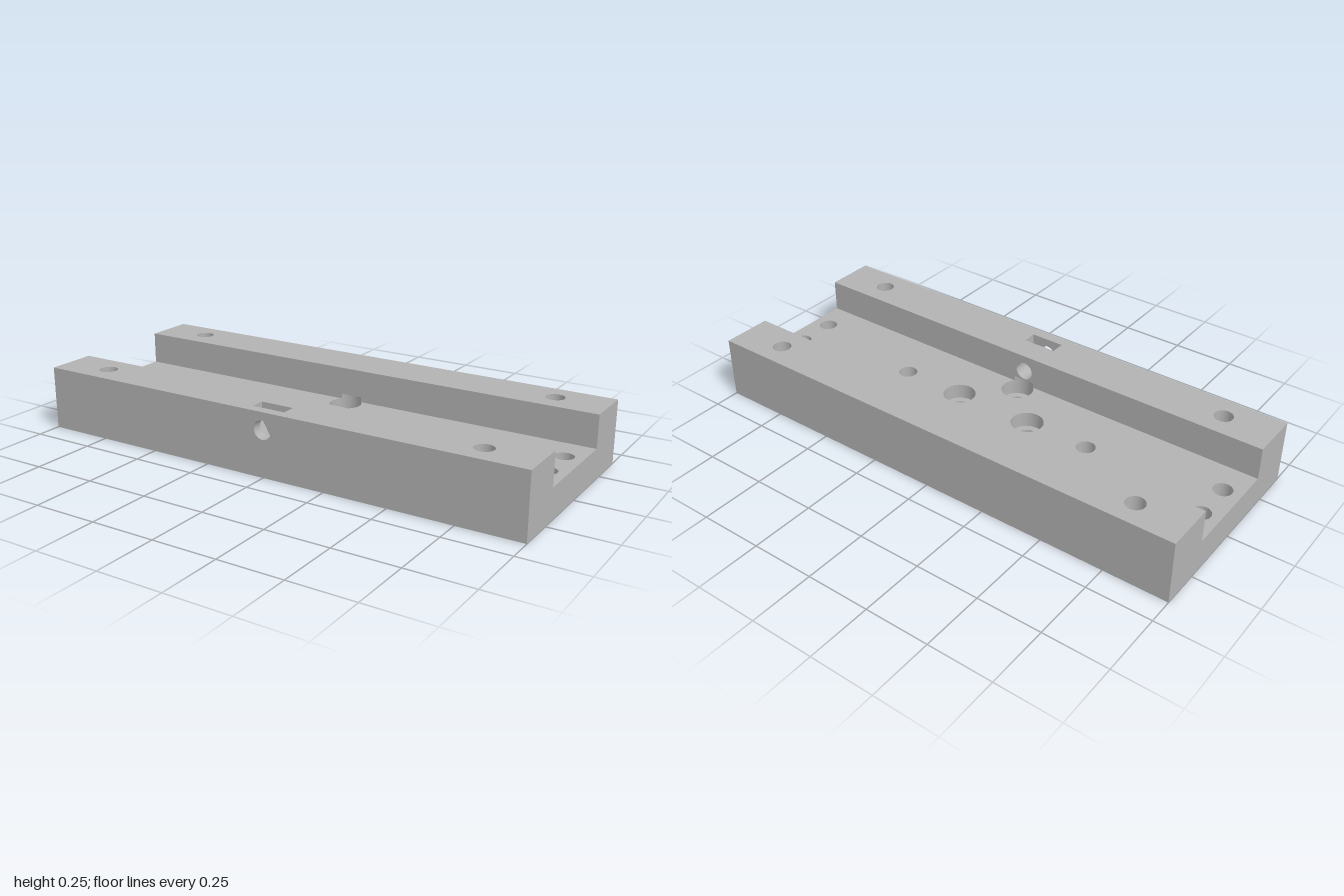
import * as THREE from 'three';
import { mergeGeometries } from 'three/addons/utils/BufferGeometryUtils.js';

// main sizes
const L = 1, D = 0.4, H = 0.247;        // half length, half depth, height
const W = 0.204, FLOOR = 0.12;          // channel half width and floor height
const R = 0.036, BORE = 0.062, NUT = 0.063;
const NUT_TOP = 0.06, BORE_BOTTOM = 0.06, NOTCH_TOP = 0.14;
const CROSS_Y = 0.18, SLOT0 = 0.305, SLOT1 = 0.36;

// hole positions (x, z)
const signs = [[-1, -1], [-1, 1], [1, -1], [1, 1]];
const railHoles = signs.map(([a, b]) => [a * 0.8, b * 0.304]);
const endHoles = signs.map(([a, b]) => [a * 0.93, b * 0.077]);
const plainHoles = [[-0.42, 0], [0.42, 0]];
const sideBores = [[-0.16, 0], [0.16, 0]];
const wallBores = [[0, -0.16], [0, 0.16]];
const bores = [...sideBores, ...wallBores];

// plane coordinates (u, v) at height h along an axis
const place = {
  x: (u, v, h) => [h, v, u],
  y: (u, v, h) => [u, h, v],
  z: (u, v, h) => [u, v, h],
};
const handed = { x: -1, y: -1, z: 1 };

const rect = (u0, v0, u1, v1) => [[u0, v0], [u1, v0], [u1, v1], [u0, v1]];
const ngon = ([u, v], r, n = 48, turn = 0) => Array.from({ length: n }, (_, i) => {
  const t = turn + (i / n) * Math.PI * 2;
  return [u + r * Math.cos(t), v + r * Math.sin(t)];
});
const circle = (c) => ngon(c, R);
const nut = (c) => ngon(c, NUT, 6, Math.PI / 6);
const vec = (pts) => pts.map(([u, v]) => new THREE.Vector2(u, v));

// flat face with holes, facing along +axis or -axis
function face(axis, h, sign, outline, holes = []) {
  const shape = new THREE.Shape(vec(outline));
  shape.holes = holes.map((p) => new THREE.Path(vec(p)));
  const src = new THREE.ShapeGeometry(shape);
  const pos = src.attributes.position, out = [];
  for (let i = 0; i < pos.count; i++) out.push(...place[axis](pos.getX(i), pos.getY(i), h));
  const idx = Array.from(src.index.array);
  if (handed[axis] !== sign) idx.reverse();
  return finish(out, idx, false);
}

// cavity wall swept along an axis, facing the inside of the loop
function wall(axis, h0, h1, loop, { closed = true, smooth = true } = {}) {
  const n = loop.length, out = [], idx = [];
  for (const [u, v] of loop) out.push(...place[axis](u, v, h0), ...place[axis](u, v, h1));
  for (let i = 0; i < (closed ? n : n - 1); i++) {
    const a = 2 * i, b = 2 * ((i + 1) % n);
    idx.push(a, b, b + 1, a, b + 1, a + 1);
  }
  const ccw = THREE.ShapeUtils.area(vec(loop)) > 0 ? 1 : -1;
  if (ccw * handed[axis] > 0) idx.reverse();
  return finish(out, idx, smooth);
}

function finish(positions, idx, smooth) {
  let g = new THREE.BufferGeometry();
  g.setAttribute('position', new THREE.Float32BufferAttribute(positions, 3));
  g.setIndex(idx);
  if (smooth) g.computeVertexNormals();
  g = g.toNonIndexed();
  if (!smooth) g.computeVertexNormals();
  return g;
}

export function createModel() {
  const metal = new THREE.MeshStandardMaterial({ color: 0xb2b2b2, side: THREE.DoubleSide });
  metal.name = 'grey metal';
  const model = new THREE.Group();
  model.name = 'mountingBlock';
  const add = (name, parts) => {
    const mesh = new THREE.Mesh(mergeGeometries(parts), metal);
    mesh.name = name;
    model.add(mesh);
  };

  // counterbores near the rails cut a shallow notch into the channel walls
  const cut = Math.acos((W - 0.16) / BORE);
  const notchHalf = BORE * Math.sin(cut);
  const arc = (t0, t1, n) => Array.from({ length: n + 1 }, (_, i) => {
    const t = t0 + ((t1 - t0) * i) / n;
    return [BORE * Math.sin(t), 0.16 + BORE * Math.cos(t)];
  });
  const turned = (pts) => pts.map(([x, z]) => [-x, -z]);
  const notch = arc(-cut, cut, 12);

  // outer faces
  const profile = [[-D, 0], [D, 0], [D, H], [W, H], [W, FLOOR], [-W, FLOOR], [-W, H], [-D, H]];
  const crossHole = circle([0, CROSS_Y]);
  add('endFaces', [face('x', -L, -1, profile), face('x', L, 1, profile)]);
  add('frontFace', [face('z', D, 1, rect(-L, 0, L, H), [crossHole])]);
  add('backFace', [face('z', -D, -1, rect(-L, 0, L, H))]);
  add('underside', [face('y', 0, -1, rect(-L, -D, L, D), [
    ...[...railHoles, ...endHoles].map(nut), ...[...plainHoles, ...bores].map(circle)])]);

  // rail tops, with the nut slot opening in the front one
  const slotHalf = 0.067;
  add('frontRailTop', [face('y', H, 1, rect(-L, W, L, D), [
    ...railHoles.filter((p) => p[1] > 0).map(circle), rect(-slotHalf, SLOT0, slotHalf, SLOT1)])]);
  add('backRailTop', [face('y', H, 1, rect(-L, -D, L, -W),
    railHoles.filter((p) => p[1] < 0).map(circle))]);

  // channel floor and walls
  const halfFloor = [[-L, W], ...arc(2 * Math.PI - cut, cut, 36), [L, W]];
  add('channelFloor', [face('y', FLOOR, 1, [...halfFloor, ...turned(halfFloor)], [
    ...[...endHoles, ...plainHoles].map(circle), ...sideBores.map((c) => ngon(c, BORE))])]);
  const innerWall = [[-L, FLOOR], [-notchHalf, FLOOR], [-notchHalf, NOTCH_TOP],
    [notchHalf, NOTCH_TOP], [notchHalf, FLOOR], [L, FLOOR], [L, H], [-L, H]];
  add('channelWalls', [face('z', W, -1, innerWall, [crossHole]), face('z', -W, 1, innerWall)]);
  add('wallNotches', [notch, turned(notch)].flatMap((p) => [
    wall('y', FLOOR, NOTCH_TOP, p, { closed: false }), face('y', NOTCH_TOP, -1, p)]));

  // bolt holes with hexagonal nut pockets below
  const boltHole = (top) => (c) => [
    wall('y', 0, NUT_TOP, nut(c), { smooth: false }),
    face('y', NUT_TOP, -1, nut(c), [circle(c)]),
    wall('y', NUT_TOP, top, circle(c))];
  add('railBoltHoles', railHoles.flatMap(boltHole(H)));
  add('endBoltHoles', endHoles.flatMap(boltHole(FLOOR)));

  // plain and counterbored holes in the floor
  add('plainHoles', plainHoles.map((c) => wall('y', 0, FLOOR, circle(c))));
  add('counterbores', bores.flatMap((c) => [
    wall('y', 0, BORE_BOTTOM, circle(c)),
    face('y', BORE_BOTTOM, 1, ngon(c, BORE), [circle(c)]),
    wall('y', BORE_BOTTOM, FLOOR, ngon(c, BORE))]));

  // cross hole through the front rail and its drop-in nut slot
  add('crossHole', [wall('z', W, SLOT0, crossHole), wall('z', SLOT1, D, crossHole)]);
  const s = slotHalf, low = CROSS_Y - 0.058;
  const slot = [[-s, H], [-s, CROSS_Y], [-s / 2, low], [s / 2, low], [s, CROSS_Y], [s, H]];
  add('nutSlot', [
    wall('z', SLOT0, SLOT1, slot, { closed: false, smooth: false }),
    face('z', SLOT0, 1, slot, [crossHole]), face('z', SLOT1, -1, slot, [crossHole])]);

  return model;
}
